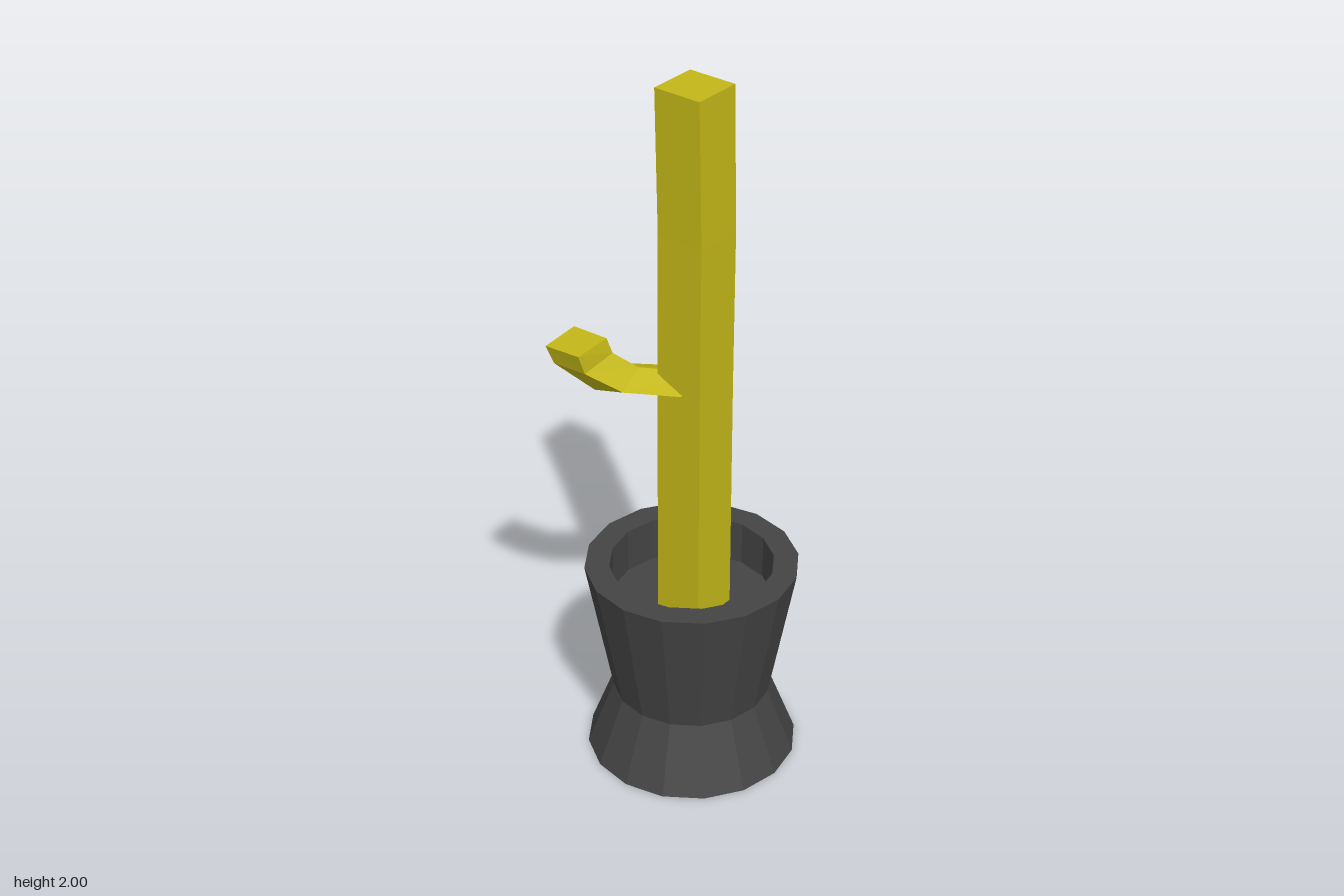
import * as THREE from 'three';

// Closed four-sided loft; corners run back-left, back-right, front-right, front-left, rings bottom to top.
function loft(rings) {
  const positions = rings.flat(2);
  const index = [0, 1, 2, 0, 2, 3];
  for (let r = 0; r < rings.length - 1; r++) {
    for (let i = 0; i < 4; i++) {
      const a = r * 4 + i, b = r * 4 + (i + 1) % 4;
      index.push(a, a + 4, b + 4, a, b + 4, b);
    }
  }
  const t = (rings.length - 1) * 4;
  index.push(t, t + 2, t + 1, t, t + 3, t + 2);
  const geometry = new THREE.BufferGeometry();
  geometry.setAttribute('position', new THREE.Float32BufferAttribute(positions, 3));
  geometry.setIndex(index);
  geometry.computeVertexNormals();
  return geometry;
}

// Square ring turned 15 degrees about the vertical
function squareRing(x, y, z, side) {
  return [0, 1, 2, 3].map((i) => {
    const a = THREE.MathUtils.degToRad(240 + i * 90);
    const r = side * Math.SQRT1_2;
    return [x + r * Math.cos(a), y, z + r * Math.sin(a)];
  });
}

export function createModel() {
  const model = new THREE.Group();
  const add = (name, geometry, color) => {
    const material = new THREE.MeshStandardMaterial({ color, flatShading: true });
    const mesh = new THREE.Mesh(geometry, material);
    mesh.name = name;
    model.add(mesh);
    return mesh;
  };

  // Waisted sixteen-sided pot with a thick rim and recessed soil floor
  const profile = [[0, 0], [0.294, 0], [0.22, 0.195], [0.294, 0.593], [0.226, 0.593], [0.226, 0.465], [0, 0.465]]
    .map(([r, y]) => new THREE.Vector2(r, y));
  const pot = add('pot', new THREE.LatheGeometry(profile, 16, THREE.MathUtils.degToRad(97.8)), 0x444444);
  pot.position.x = 0.014;

  // Tall, very slightly bowed square trunk
  add('trunk', loft([
    squareRing(0.025, 0.44, 0.011, 0.14),
    squareRing(0.027, 1.15, 0.009, 0.14),
    squareRing(0.03, 1.6, 0.007, 0.14),
    squareRing(0.025, 2, 0.011, 0.14),
  ]), 0xc4b818);

  // Side arm sweeping outward and up to a square tip
  add('arm', loft([
    [[-0.05, -0.063, 1.16], [0.03, -0.02, 1.18], [0.02, 0.085, 1.16], [-0.06, 0.05, 1.135]],
    [[-0.19, 0.03, 1.185], [-0.105, 0.075, 1.215], [-0.105, 0.17, 1.19], [-0.2, 0.14, 1.16]],
    [[-0.255, 0.072, 1.26], [-0.16, 0.113, 1.265], [-0.19, 0.217, 1.25], [-0.29, 0.19, 1.245]],
    [[-0.28, 0.09, 1.305], [-0.172, 0.122, 1.31], [-0.2, 0.231, 1.305], [-0.308, 0.2, 1.297]],
  ].map((ring) => ring.map(([x, z, y]) => [x, y, z]))), 0xc4b818);

  return model;
}
